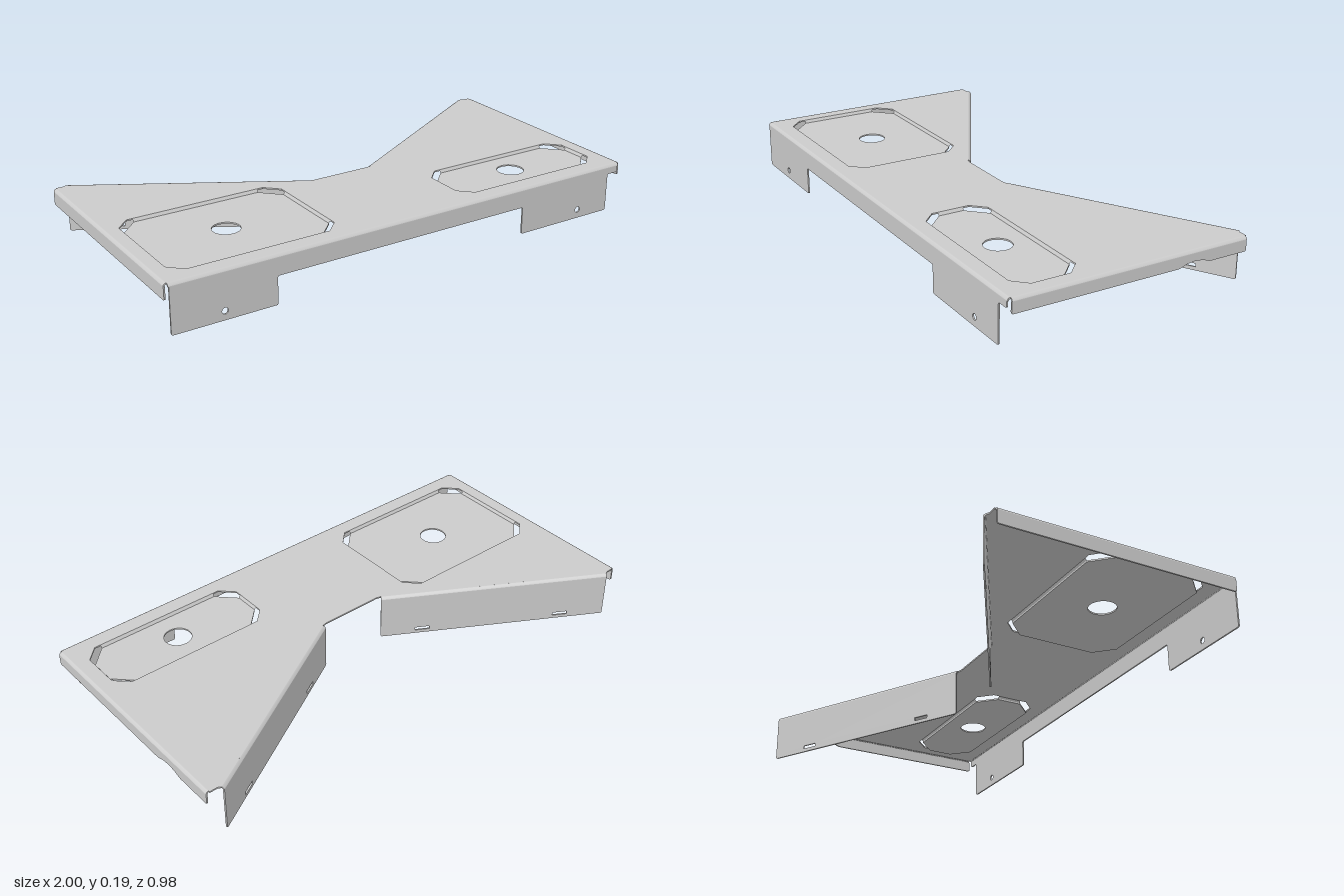
import * as THREE from 'three';
import { toCreasedNormals } from 'three/addons/utils/BufferGeometryUtils.js';

const TOP = 0.19, T = 0.006, R = 0.012, DEPTH = 0.012;
const material = new THREE.MeshStandardMaterial({ color: 0xcccccc, side: THREE.DoubleSide });

function mesh(name, geometry) {
  const m = new THREE.Mesh(toCreasedNormals(geometry, 0.7), material);
  m.name = name;
  return m;
}

const poly = (pts, Type = THREE.Shape) => new Type(pts.map(([x, y]) => new THREE.Vector2(x, y)));

function circle(x, y, r) {
  const p = new THREE.Path();
  p.absarc(x, y, r, 0, Math.PI * 2);
  return p;
}

const rect = (x0, x1, y0, y1) => poly([[x0, y0], [x1, y0], [x1, y1], [x0, y1]], THREE.Path);

const extrude = (shape, depth) =>
  new THREE.ExtrudeGeometry(shape, { depth, bevelEnabled: false, curveSegments: 24 });

// Outline with small rounded corners, kept sharp along the bend line
function softShape(pts, r = 0.008) {
  const v = pts.map(([x, y]) => new THREE.Vector2(x, y));
  const s = new THREE.Shape();
  v.forEach((p, i) => {
    const a = v[(i + v.length - 1) % v.length], b = v[(i + 1) % v.length];
    const k = p.y > 0.17 ? 0 : r;
    const p0 = p.clone().add(a.clone().sub(p).setLength(k));
    const p1 = p.clone().add(b.clone().sub(p).setLength(k));
    if (i) s.lineTo(p0.x, p0.y); else s.moveTo(p0.x, p0.y);
    if (k) s.quadraticCurveTo(p.x, p.y, p1.x, p1.y);
  });
  s.closePath();
  return s;
}

// Horizontal sheet drawn in x, z with its upper face at the given height
function sheet(name, pts, holes, top) {
  const shape = poly(pts.map(([x, z]) => [x, -z]));
  shape.holes = holes;
  const g = extrude(shape, T).rotateX(-Math.PI / 2).translate(0, top - T, 0);
  return mesh(name, g);
}

// Vertical flange with a rounded bend; local x runs from a towards b, local z points outward
function flange(name, a, b, pts, bend, holes = []) {
  const group = new THREE.Group();
  group.name = name;
  const shape = softShape(pts);
  shape.holes = holes;
  group.add(mesh(name + 'Wall', extrude(shape, T).translate(0, 0, -T)));
  const ring = new THREE.Shape();
  ring.absarc(-R, TOP - R, R, 0, Math.PI / 2, false);
  ring.absarc(-R, TOP - R, R - T, Math.PI / 2, 0, true);
  const g = extrude(ring, bend[1] - bend[0]).rotateY(-Math.PI / 2).translate(bend[1], 0, 0);
  group.add(mesh(name + 'Bend', g));
  group.position.set(a[0], 0, a[1]);
  group.rotation.y = Math.atan2(a[1] - b[1], b[0] - a[0]);
  return group;
}

const octagon = (x0, x1, z0, z1, c) => [
  [x0 + c, z0], [x1 - c, z0], [x1, z0 + c], [x1, z1 - c],
  [x1 - c, z1], [x0 + c, z1], [x0, z1 - c], [x0, z0 + c]];

// Pressed-down panel: floor with a round hole, four sloped sides, open corner slots
function recess(name, [x0, x1, z0, z1], [hx, hz]) {
  const group = new THREE.Group();
  group.name = name;
  const i = 0.007, c = 0.07;
  const floor = octagon(x0 + i, x1 - i, z0 + i, z1 - i, c);
  const rim = octagon(x0, x1, z0, z1, c + i);
  group.add(sheet(name + 'Floor', floor, [circle(hx, -hz, 0.053)], TOP - DEPTH));
  const pos = [];
  for (let k = 0; k < 8; k += 2) {
    const q = [[rim[k], TOP], [floor[k], TOP - DEPTH], [floor[k + 1], TOP - DEPTH], [rim[k + 1], TOP]];
    for (const n of [0, 1, 2, 0, 2, 3]) pos.push(q[n][0][0], q[n][1], q[n][0][1]);
  }
  const g = new THREE.BufferGeometry();
  g.setAttribute('position', new THREE.Float32BufferAttribute(pos, 3));
  group.add(mesh(name + 'Sides', g));
  return group;
}

export function createModel() {
  const model = new THREE.Group();
  model.name = 'sheetMetalBracket';

  // Top plate with the two panel openings
  const areas = [[-0.94, -0.275, -0.055, 0.42], [0.27, 0.935, 0.163, 0.42]];
  const openings = areas.map((a) =>
    poly(octagon(...a, 0.052).map(([x, z]) => [x, -z]), THREE.Path));
  const half = [[1 - R, 0.49 - R], [1 - R, -0.475], [0.957, -0.475], [0.946, -0.481],
    [0.146, -0.02], [0.125, -0.015]];
  const outline = [...half, ...half.map(([x, z]) => [-x, z]).reverse()];
  model.add(sheet('topPlate', outline, openings, TOP));
  model.add(recess('largePanel', areas[0], [-0.61, 0.18]));
  model.add(recess('smallPanel', areas[1], [0.6, 0.29]));

  // Front flange with two feet
  const H = TOP - R;
  model.add(flange('frontFlange', [0, 0.49], [1, 0.49], [
    [-0.985, 0], [-0.58, 0], [-0.58, 0.11], [0.5, 0.11], [0.5, 0], [0.935, 0],
    [0.935, 0.153], [0.985, 0.153], [0.985, H], [-0.985, H]], [-0.988, 0.988],
  [circle(-0.785, 0.035, 0.012), circle(0.785, 0.035, 0.012)]));

  // Side flanges, the left one with a shallow relief in its lower edge
  model.add(flange('leftFlange', [1, 0], [1, -1], [
    [-0.48, 0.135], [0.18, 0.135], [0.21, 0.146], [0.245, 0.15], [0.28, 0.146], [0.31, 0.135],
    [0.47, 0.135], [0.47, H], [-0.48, H]], [-0.478, 0.47]));
  model.add(flange('rightFlange', [-1, 0], [-1, 1], [
    [-0.47, 0.128], [0.48, 0.128], [0.48, H], [-0.47, H]], [-0.47, 0.478]));

  // Diagonal rear flanges with slots
  const L = Math.hypot(0.8, 0.46);
  for (const side of [1, -1]) {
    const inner = [side * 0.14, -0.03], outer = [side * 0.94, -0.49];
    const slots = [[0.151, 0.211], [0.723, 0.783]].map(([s0, s1]) =>
      side > 0 ? rect(s0, s1, 0.014, 0.027) : rect(L - s1, L - s0, 0.014, 0.027));
    const [a, b] = side > 0 ? [outer, inner] : [inner, outer];
    model.add(flange(side > 0 ? 'leftRearFlange' : 'rightRearFlange', a, b,
      [[0, 0], [L, 0], [L, H], [0, H]], [0, L], slots));
  }
  return model;
}
